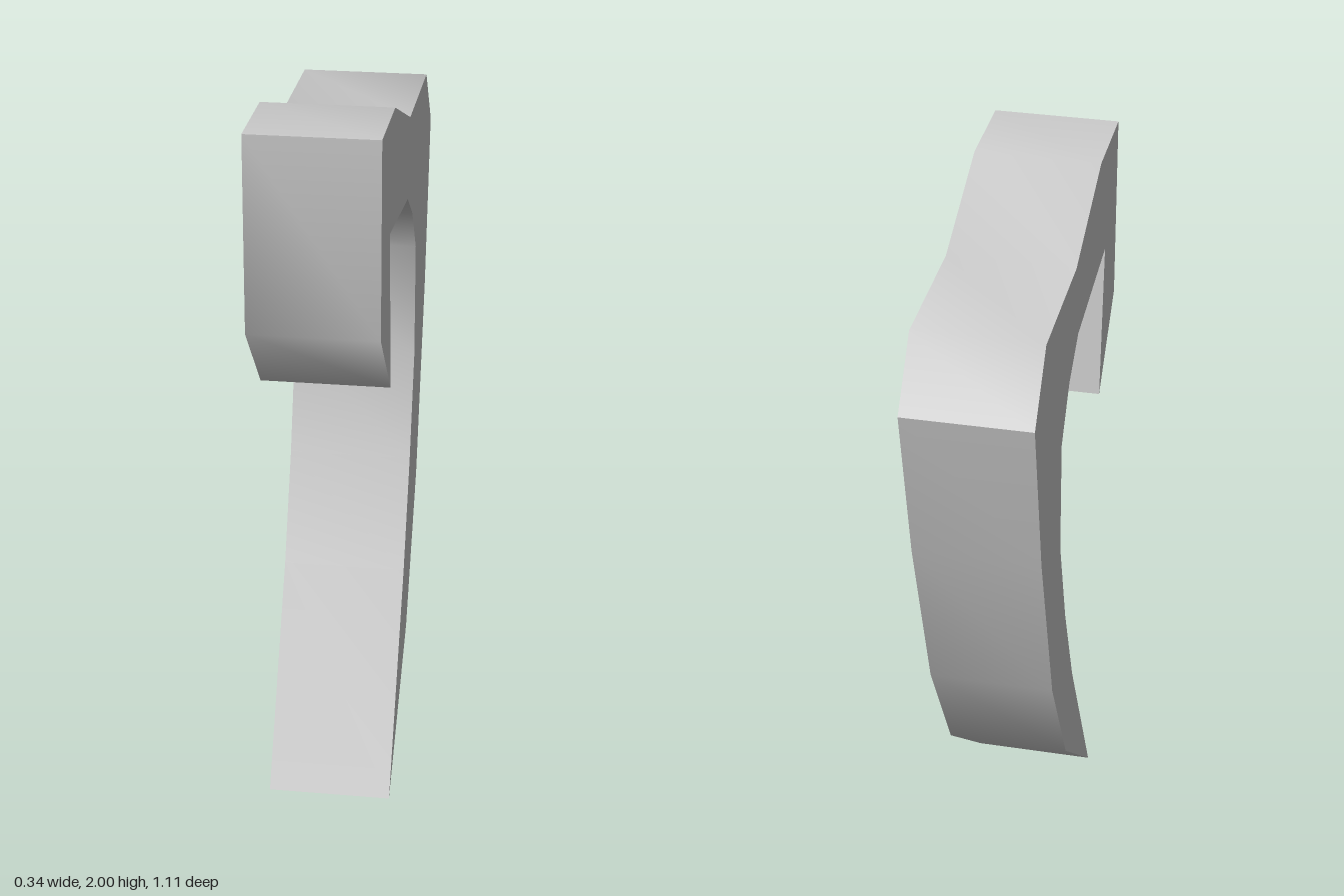
import * as THREE from 'three';
import { mergeGeometries } from 'three/addons/utils/BufferGeometryUtils.js';

const HALF_WIDTH = 0.168;

// Outline as [z, y], split into runs: smooth within a run, sharp between runs
const runs = {
  topSurface: [[0.556, 2], [0.3, 2], [-0.035, 1.87], [-0.42, 1.87], [-0.552, 1.705]],
  backSurface: [[-0.552, 1.705], [-0.458, 1.25], [-0.295, 0.725], [-0.08, 0.34], [0.302, 0]],
  innerSurface: [[0.302, 0], [0, 0.56], [-0.12, 0.85], [-0.205, 1.13], [-0.205, 1.45],
    [-0.11, 1.58], [0.005, 1.66], [0.389, 1.705]],
  hookInside: [[0.389, 1.705], [0.348, 1.273]],
  hookFront: [[0.348, 1.273], [0.556, 1.487], [0.556, 2]],
};

// Strip of quads across the width along one run
function wall(points) {
  const positions = [], uvs = [], index = [];
  points.forEach(([z, y], i) => {
    positions.push(HALF_WIDTH, y, z, -HALF_WIDTH, y, z);
    uvs.push(0, i, 1, i);
    if (i > 0) {
      const a = 2 * (i - 1), b = 2 * i;
      index.push(a, b, b + 1, a, b + 1, a + 1);
    }
  });
  const geometry = new THREE.BufferGeometry();
  geometry.setAttribute('position', new THREE.Float32BufferAttribute(positions, 3));
  geometry.setAttribute('uv', new THREE.Float32BufferAttribute(uvs, 2));
  geometry.setIndex(index);
  geometry.computeVertexNormals();
  return geometry;
}

// Flat side of the outline, facing +x (side 1) or -x (side -1)
function cap(side) {
  const outline = Object.values(runs).flatMap((run) => run.slice(0, -1));
  const shape = new THREE.Shape(outline.map(([z, y]) => new THREE.Vector2(-side * z, y)));
  return new THREE.ShapeGeometry(shape)
    .rotateY(side * Math.PI / 2)
    .translate(side * HALF_WIDTH, 0, 0);
}

export function createModel() {
  const group = new THREE.Group();
  group.name = 'curvedHook';
  const grey = new THREE.MeshStandardMaterial({ color: 0xcccccc });
  grey.name = 'light grey';

  const walls = Object.values(runs).map(wall);
  const body = new THREE.Mesh(mergeGeometries([...walls, cap(1), cap(-1)]), grey);
  body.name = 'hookBody';
  group.add(body);
  return group;
}
